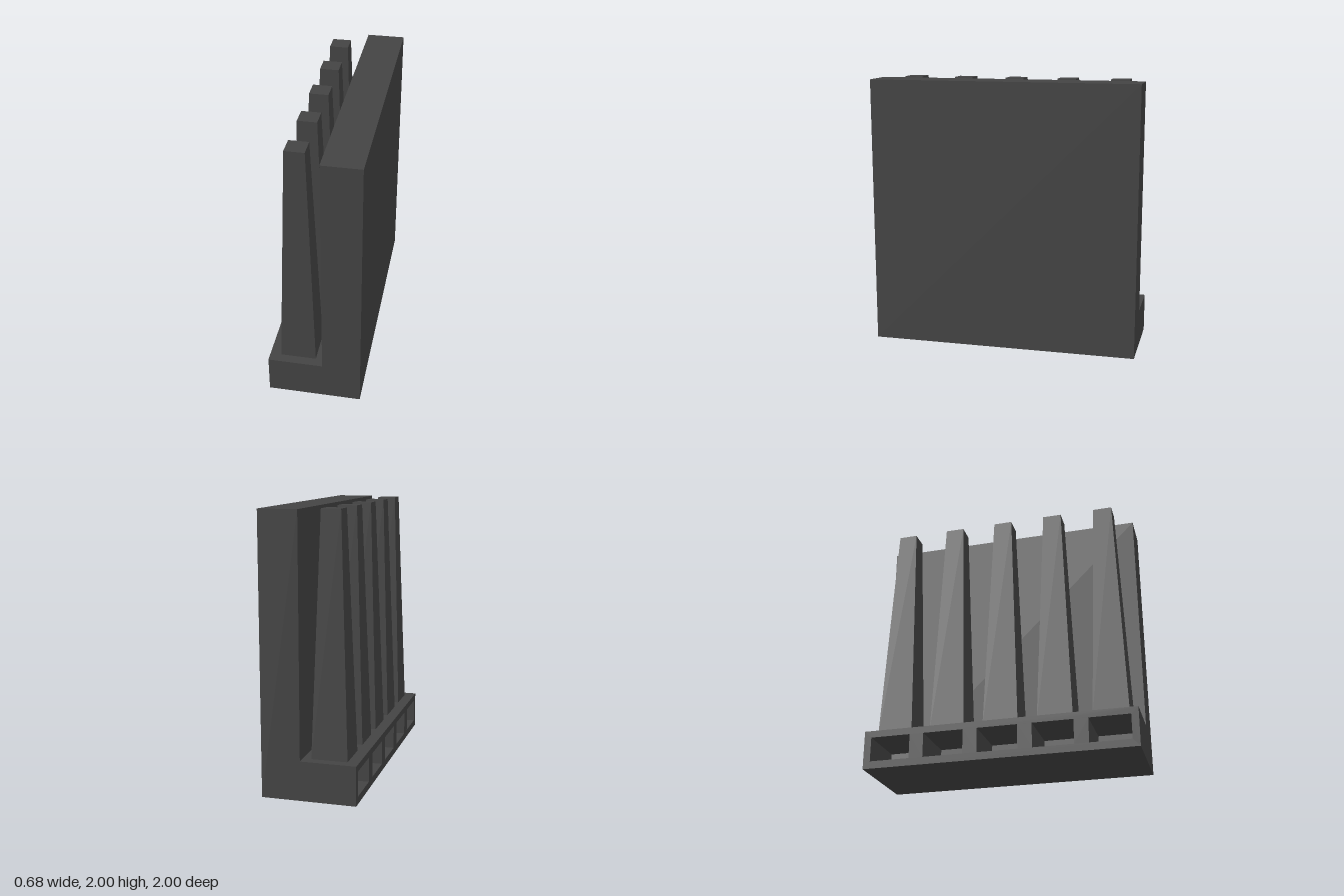
import * as THREE from 'three';

const HEIGHT = 2, LENGTH = 2, BASE_H = 0.285;
const BACK_X = -0.34, WALL_X = 0.06, FRONT_X = 0.34;
const CENTRES = [-0.8, -0.4, 0, 0.4, 0.8];

function rect(target, x0, x1, y0, y1) {
  target.moveTo(x0, y0);
  target.lineTo(x1, y0);
  target.lineTo(x1, y1);
  target.lineTo(x0, y1);
  target.closePath();
  return target;
}

export function createModel() {
  const group = new THREE.Group();
  const material = new THREE.MeshStandardMaterial({ color: 0x444444, flatShading: true });
  const add = (name, geometry) => {
    const mesh = new THREE.Mesh(geometry, material);
    mesh.name = name;
    group.add(mesh);
    return mesh;
  };

  // Tall slab, which also closes the inner ends of the sockets
  const wall = add('wall', new THREE.BoxGeometry(FRONT_X - WALL_X, HEIGHT, LENGTH));
  wall.position.set((FRONT_X + WALL_X) / 2, HEIGHT / 2, 0);

  // Low ledge with a row of rectangular sockets, extruded towards -x
  const outline = rect(new THREE.Shape(), -LENGTH / 2, LENGTH / 2, 0, BASE_H);
  for (const z of CENTRES) {
    outline.holes.push(rect(new THREE.Path(), z - 0.148, z + 0.148, 0.055, 0.235));
  }
  const ledge = new THREE.ExtrudeGeometry(outline, { depth: WALL_X - BACK_X, bevelEnabled: false });
  ledge.rotateY(-Math.PI / 2);
  ledge.translate(WALL_X, 0, 0);
  add('socketLedge', ledge);

  // Tapered square posts standing on the ledge
  const postH = HEIGHT - BASE_H;
  const post = new THREE.CylinderGeometry(0.07 * Math.SQRT2, 0.13 * Math.SQRT2, postH, 4);
  post.rotateY(Math.PI / 4);
  CENTRES.forEach((z, i) => {
    add(`post${i + 1}`, post).position.set(-0.13, BASE_H + postH / 2, z);
  });

  return group;
}
